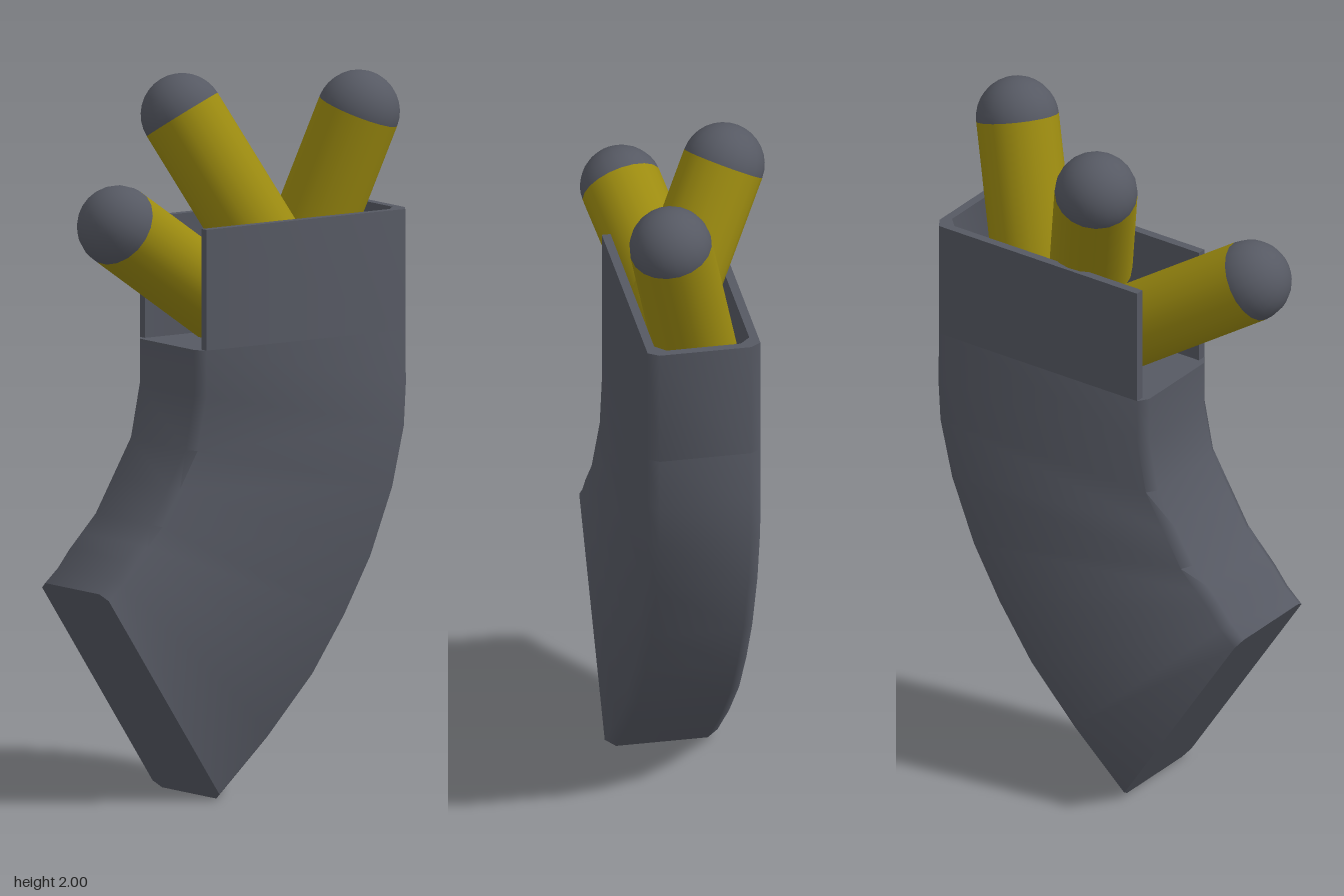
import * as THREE from 'three';
import { toCreasedNormals } from 'three/addons/utils/BufferGeometryUtils.js';

const steel = new THREE.MeshStandardMaterial({ color: 0x565963 });
const brass = new THREE.MeshStandardMaterial({ color: 0x9c8b10 });
const FRONT = 0.2, BACK = -0.12, RIM = 1.61, SILL = 1.27;

// Curved body: chamfered rectangular sections swept between inner and outer edges.
function curvedBody() {
  // inner x, inner y, outer x, outer y
  const rows = [
    [-0.2, SILL, 0.52, SILL], [-0.2, 1.14, 0.522, 1.12], [-0.23, 0.99, 0.515, 1.0],
    [-0.29, 0.89, 0.475, 0.83], [-0.35, 0.79, 0.4, 0.64], [-0.4, 0.74, 0.31, 0.48],
    [-0.44, 0.7, 0.2, 0.32], [-0.48, 0.65, 0.05, 0.16], [-0.525, 0.61, -0.125, 0],
  ];
  const c = 0.02, d = 0.03, pos = [], idx = [];
  for (const [ix, iy, ox, oy] of rows) {
    const inner = new THREE.Vector2(ix, iy), outer = new THREE.Vector2(ox, oy);
    const len = inner.distanceTo(outer);
    const section = [
      [c, FRONT], [len - c, FRONT], [len, FRONT - d], [len, BACK + d],
      [len - c, BACK], [c, BACK], [0, BACK + d], [0, FRONT - d],
    ];
    for (const [s, z] of section) {
      const p = inner.clone().lerp(outer, s / len);
      pos.push(p.x, p.y, z);
    }
  }
  const last = (rows.length - 1) * 8;
  for (let r = 0; r < last; r += 8) {
    for (let j = 0; j < 8; j++) {
      const k = (j + 1) % 8;
      idx.push(r + j, r + 8 + j, r + 8 + k, r + j, r + 8 + k, r + k);
    }
  }
  // cavity floor and closed lower end
  for (let j = 1; j < 7; j++) idx.push(0, j, j + 1, last, last + j + 1, last + j);
  const g = new THREE.BufferGeometry();
  g.setAttribute('position', new THREE.Float32BufferAttribute(pos, 3));
  g.setIndex(idx);
  return toCreasedNormals(g, 1.05);
}

// Thin walls around the open mouth, with the inner end left open.
function mouthWalls() {
  const outline = [
    [-0.18, 0.2], [0.5, 0.2], [0.52, 0.17], [0.52, -0.09], [0.5, -0.12], [-0.18, -0.12],
    [-0.18, -0.095], [0.465, -0.095], [0.495, -0.065], [0.495, 0.145], [0.465, 0.175], [-0.18, 0.175],
  ];
  const shape = new THREE.Shape(outline.map(([x, z]) => new THREE.Vector2(x, -z)));
  const g = new THREE.ExtrudeGeometry(shape, { depth: RIM - SILL, bevelEnabled: false });
  g.rotateX(-Math.PI / 2).translate(0, SILL, 0);
  return toCreasedNormals(g, 1.05);
}

// Round-nosed rod: the nose centre sits at tip, the shaft runs along dir.
function rod(name, tip, dir, length) {
  const R = 0.116, group = new THREE.Group();
  group.name = name;
  const shaft = new THREE.Mesh(new THREE.CylinderGeometry(R, R, length, 20), brass);
  shaft.name = 'shaft';
  shaft.position.y = -length / 2;
  const nose = new THREE.Mesh(new THREE.SphereGeometry(R, 20, 8, 0, Math.PI * 2, 0, Math.PI / 2), steel);
  nose.name = 'nose';
  group.add(shaft, nose);
  group.position.set(...tip);
  const up = new THREE.Vector3(...dir).normalize().negate();
  group.quaternion.setFromUnitVectors(new THREE.Vector3(0, 1, 0), up);
  return group;
}

export function createModel() {
  const model = new THREE.Group();
  model.name = 'curvedCase';
  const body = new THREE.Mesh(curvedBody(), steel);
  body.name = 'body';
  const walls = new THREE.Mesh(mouthWalls(), steel);
  walls.name = 'mouthWalls';
  model.add(
    body, walls,
    rod('sideRod', [-0.41, 1.627, 0.1], [1, -0.62, -0.24], 0.5),
    rod('middleRod', [-0.037, 1.884, -0.117], [0.41, -1, 0.5], 0.42),
    rod('outerRod', [0.4, 1.884, 0.115], [-0.31, -1, -0.23], 0.5),
  );
  return model;
}
